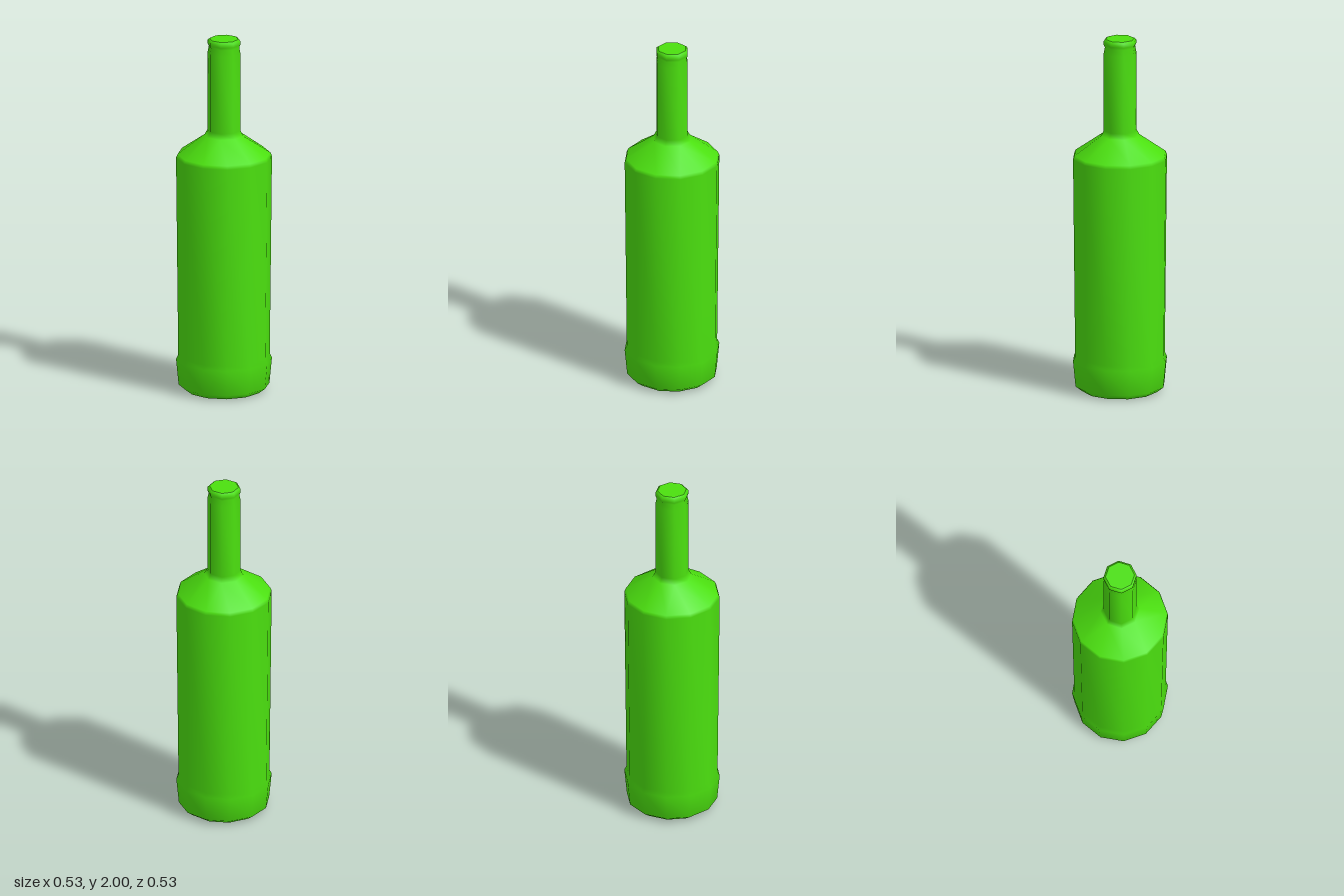
import * as THREE from 'three';

const TWIST = 0.045; // slight turn of every ring about the upright axis

// Smooth shell through rings of [sides, radius, height], bottom to top;
// neighbouring rings may have different numbers of sides.
function ringShell(rings) {
  const positions = [], index = [], starts = [];
  for (const [n, r, y] of rings) {
    starts.push(positions.length / 3);
    for (let i = 0; i < n; i++) {
      const a = TWIST + (i / n) * Math.PI * 2;
      positions.push(r * Math.sin(a), y, r * Math.cos(a));
    }
  }
  for (let k = 0; k < rings.length - 1; k++) {
    const na = rings[k][0], nb = rings[k + 1][0];
    const lower = (i) => starts[k] + (i % na);
    const upper = (j) => starts[k + 1] + (j % nb);
    let i = 0, j = 0;
    while (i < na || j < nb) {
      if (j === nb || (i < na && (i + 1) / na <= (j + 1) / nb)) {
        index.push(lower(i), lower(i + 1), upper(j));
        i++;
      } else {
        index.push(lower(i), upper(j + 1), upper(j));
        j++;
      }
    }
  }
  const geometry = new THREE.BufferGeometry();
  geometry.setAttribute('position', new THREE.Float32BufferAttribute(positions, 3));
  geometry.setIndex(index);
  geometry.computeVertexNormals();
  return geometry;
}

export function createModel() {
  const group = new THREE.Group();
  group.name = 'bottle';
  const green = new THREE.MeshStandardMaterial({ color: 0x4be00f });
  green.name = 'green glass';

  const add = (name, geometry) => {
    const mesh = new THREE.Mesh(geometry, green);
    mesh.name = name;
    group.add(mesh);
    return mesh;
  };

  // Twelve-sided body flowing into an eight-sided neck and lip
  add('bottleShell', ringShell([
    [12, 0.21, 0],
    [12, 0.25, 0.03],
    [12, 0.264, 0.175],
    [12, 0.252, 0.2],
    [12, 0.264, 1.325],
    [12, 0.256, 1.345],
    [8, 0.108, 1.45],
    [8, 0.092, 1.48],
    [8, 0.092, 1.92],
    [8, 0.085, 1.955],
    [8, 0.092, 1.97],
    [8, 0.092, 1.99],
    [8, 0.08, 2],
  ]));

  // Flat underside
  add('base', new THREE.CircleGeometry(0.21, 12, -TWIST).rotateX(Math.PI / 2));

  // Flat closed mouth
  add('mouth', new THREE.CircleGeometry(0.08, 8, TWIST).rotateX(-Math.PI / 2)).position.y = 2;

  return group;
}
